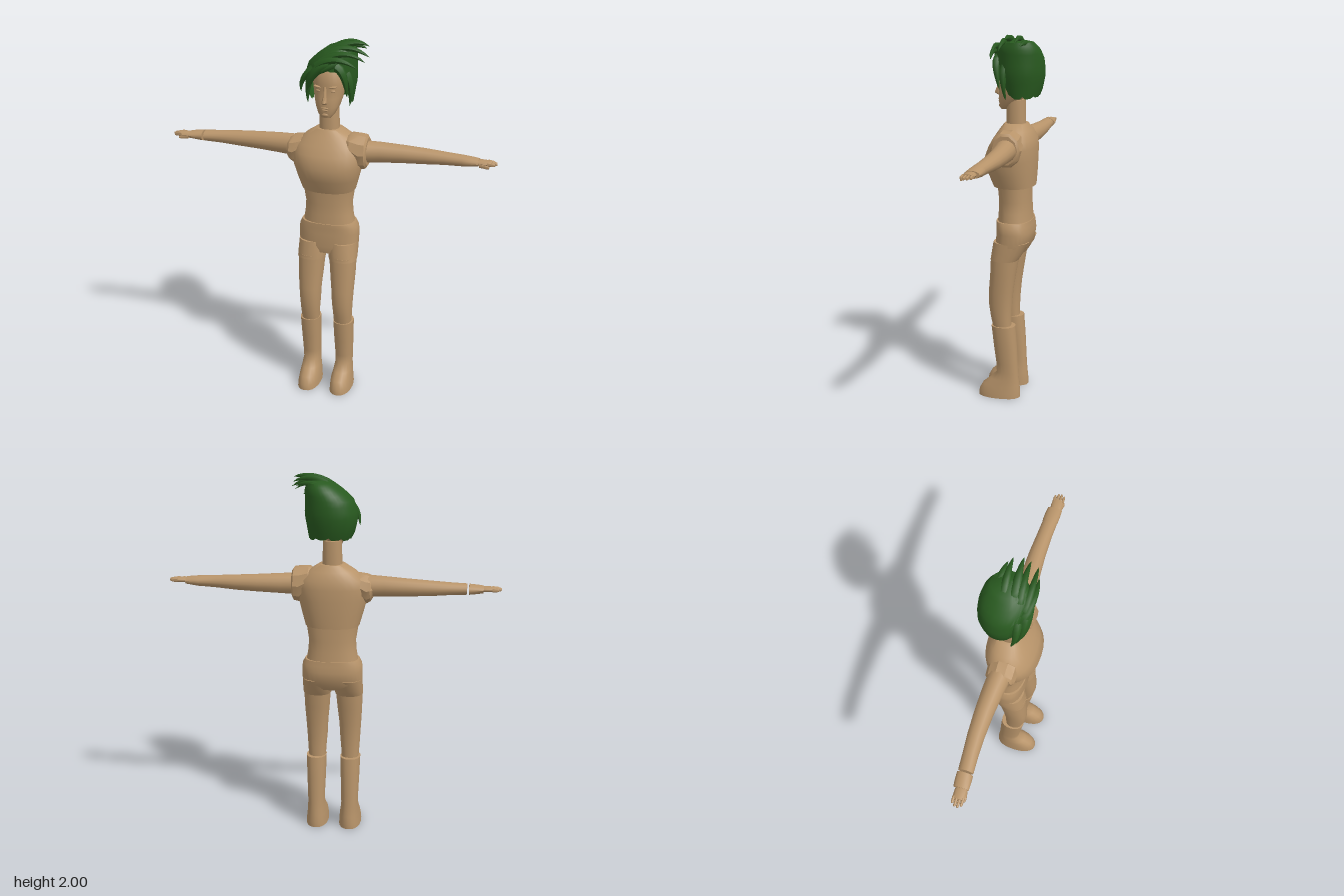
import * as THREE from 'three';
import { mergeVertices, toCreasedNormals } from 'three/addons/utils/BufferGeometryUtils.js';

const skin = new THREE.MeshStandardMaterial({ color: 0xb8946a });
skin.name = 'tan skin';
const green = new THREE.MeshStandardMaterial({ color: 0x28591f, side: THREE.DoubleSide });
green.name = 'dark green hair';

// Closed loft. Sections: [t, aMin, aMax, bMin, bMax]; axis 'y' uses a=x b=z, axis 'x' uses a=z b=y.
function loft(name, sections, { axis = 'y', sides = 20, power = 2.3, crease = 0.7 } = {}) {
  const pos = [], idx = [], n = sections.length;
  const put = (t, a, b) => (axis === 'y' ? pos.push(a, t, b) : pos.push(t, b, a));
  const bend = (v) => Math.sign(v) * Math.pow(Math.abs(v), 2 / power);
  for (const [t, a0, a1, b0, b1] of sections) {
    for (let j = 0; j < sides; j++) {
      const w = (j / sides) * Math.PI * 2;
      put(t, (a0 + a1) / 2 + ((a1 - a0) / 2) * bend(Math.cos(w)),
        (b0 + b1) / 2 + ((b1 - b0) / 2) * bend(Math.sin(w)));
    }
  }
  for (const [t, a0, a1, b0, b1] of [sections[0], sections[n - 1]]) put(t, (a0 + a1) / 2, (b0 + b1) / 2);
  for (let j = 0; j < sides; j++) {
    const k = (j + 1) % sides;
    for (let i = 0; i < n - 1; i++) {
      const a = i * sides + j, b = i * sides + k;
      idx.push(a, a + sides, b + sides, a, b + sides, b);
    }
    idx.push(n * sides, j, k, n * sides + 1, (n - 1) * sides + k, (n - 1) * sides + j);
  }
  const geo = new THREE.BufferGeometry();
  geo.setAttribute('position', new THREE.Float32BufferAttribute(pos, 3));
  geo.setIndex(idx);
  const mesh = new THREE.Mesh(toCreasedNormals(geo, crease), skin);
  mesh.name = name;
  return mesh;
}

// Mirror sections across x = 0 for each loft axis
const mirrorX = (s) => s.map(([t, ...r]) => [-t, ...r]).reverse();
const mirrorY = (s) => s.map(([t, a0, a1, b0, b1]) => [t, -a1, -a0, b0, b1]);

// Hair outline by height: [y, centre x, radius x, centre z, radius z]
const hairProfile = [
  [1.66, 0.01, 0.105, -0.05, 0.085], [1.72, 0.0, 0.125, -0.047, 0.11], [1.8, 0.0, 0.14, -0.045, 0.128],
  [1.88, 0.012, 0.127, -0.042, 0.125], [1.93, 0.04, 0.1, -0.04, 0.113], [1.965, 0.06, 0.07, -0.04, 0.085],
  [1.985, 0.075, 0, -0.035, 0],
];
function hairPoint(y, w) {
  let i = 0;
  while (i < hairProfile.length - 2 && y > hairProfile[i + 1][0]) i++;
  const p = hairProfile[i], q = hairProfile[i + 1];
  const k = (y - p[0]) / (q[0] - p[0]);
  const [cx, rx, cz, rz] = [1, 2, 3, 4].map((c) => p[c] + (q[c] - p[c]) * k);
  return [cx + rx * Math.sin(w), y, cz + rz * Math.cos(w)];
}

// Cap of hair with a face opening and a jagged hem
function hairCap() {
  const cols = 40, rows = 12, pos = [], idx = [];
  for (let j = 0; j <= cols; j++) {
    const w = (j / cols) * Math.PI * 2, f = Math.min(w, Math.PI * 2 - w);
    const open = 1 - THREE.MathUtils.smoothstep(f, 0.55, 1.25);
    const hem = 1.675 + 0.18 * open + (j % 4 === 0 ? 0.012 : 0) + (f > 2.6 ? 0.005 : 0);
    for (let i = 0; i <= rows; i++) {
      pos.push(...hairPoint(hem + (1.985 - hem) * (1 - Math.pow(1 - i / rows, 1.5)), w));
    }
  }
  for (let j = 0; j < cols; j++) for (let i = 0; i < rows; i++) {
    const a = j * (rows + 1) + i, b = a + rows + 1;
    idx.push(a, b, b + 1, a, b + 1, a + 1);
  }
  const geo = new THREE.BufferGeometry();
  geo.setAttribute('position', new THREE.Float32BufferAttribute(pos, 3));
  geo.setIndex(idx);
  const mesh = new THREE.Mesh(toCreasedNormals(mergeVertices(geo), 0.8), green);
  mesh.name = 'hairCap';
  return mesh;
}

// Pointed lock: a tube tapered along its curve
function lock(a, b, c, width) {
  const curve = new THREE.QuadraticBezierCurve3(...[a, b, c].map((p) => new THREE.Vector3(...p)));
  const seg = 8, sides = 6, geo = new THREE.TubeGeometry(curve, seg, width, sides);
  const p = geo.attributes.position, v = new THREE.Vector3();
  for (let i = 0; i < p.count; i++) {
    const u = Math.floor(i / (sides + 1)) / seg, o = curve.getPointAt(u);
    v.fromBufferAttribute(p, i).sub(o).multiplyScalar(Math.pow(1 - u, 0.7)).add(o);
    p.setXYZ(i, v.x, v.y, v.z);
  }
  geo.computeVertexNormals();
  const mesh = new THREE.Mesh(geo, green);
  mesh.name = 'hairLock';
  return mesh;
}

function ellipsoid(name, x, y, z, rx, ry, rz, tilt = 0) {
  const mesh = new THREE.Mesh(new THREE.SphereGeometry(1, 12, 8), skin);
  mesh.position.set(x, y, z);
  mesh.scale.set(rx, ry, rz);
  mesh.rotation.z = tilt;
  mesh.name = name;
  return mesh;
}

export function createModel() {
  const model = new THREE.Group();
  model.name = 'figure';

  // Torso
  model.add(
    loft('chest', [
      [1.2, -0.145, 0.145, -0.122, 0.1], [1.27, -0.165, 0.165, -0.127, 0.128], [1.345, -0.185, 0.185, -0.13, 0.15],
      [1.41, -0.19, 0.19, -0.13, 0.125], [1.455, -0.175, 0.175, -0.125, 0.1], [1.5, -0.125, 0.125, -0.105, 0.07],
      [1.535, -0.07, 0.07, -0.08, 0.045]], { sides: 28 }),
    loft('waist', [
      [1.0, -0.142, 0.142, -0.108, 0.076], [1.06, -0.132, 0.132, -0.102, 0.072],
      [1.12, -0.128, 0.128, -0.1, 0.07], [1.21, -0.142, 0.142, -0.1, 0.076]], { sides: 24 }),
    loft('hips', [
      [0.84, -0.162, 0.162, -0.07, 0.075], [0.88, -0.163, 0.163, -0.107, 0.083], [0.95, -0.165, 0.165, -0.116, 0.078],
      [0.985, -0.162, 0.162, -0.112, 0.08], [1.012, -0.148, 0.148, -0.11, 0.08]], { sides: 28, power: 2.6 }),
    loft('neck', [[1.52, -0.053, 0.053, -0.068, 0.036], [1.66, -0.05, 0.05, -0.068, 0.032]]));

  // Legs and boots
  const cuff = [[0.8, 0.012, 0.165, -0.052, 0.1], [0.84, 0.004, 0.165, -0.078, 0.094], [0.9, 0.0, 0.163, -0.108, 0.085]];
  const leg = [
    [0.4, 0.046, 0.14, -0.012, 0.084], [0.47, 0.042, 0.145, -0.012, 0.1], [0.54, 0.036, 0.149, -0.016, 0.11],
    [0.62, 0.032, 0.154, -0.023, 0.11], [0.72, 0.022, 0.16, -0.038, 0.102], [0.82, 0.014, 0.162, -0.055, 0.098]];
  const boot = [
    [0.0, 0.032, 0.157, -0.064, 0.173], [0.03, 0.034, 0.155, -0.064, 0.17], [0.07, 0.037, 0.15, -0.06, 0.148],
    [0.105, 0.043, 0.146, -0.056, 0.105], [0.145, 0.048, 0.142, -0.053, 0.068], [0.2, 0.047, 0.144, -0.05, 0.07],
    [0.3, 0.043, 0.148, -0.045, 0.083], [0.42, 0.04, 0.152, -0.036, 0.096]];
  for (const [side, place] of [['left', (s) => s], ['right', mirrorY]]) {
    model.add(
      loft(side + 'ThighCuff', place(cuff)),
      loft(side + 'Leg', place(leg)),
      loft(side + 'Boot', place(boot), { crease: 0.9 }));
  }

  // Arms: the left sleeve runs to the wrist, the right one stops short of a separate cuff
  const upperArm = [
    [0.18, -0.07, 0.05, 1.36, 1.478], [0.28, -0.075, 0.035, 1.366, 1.474], [0.4, -0.076, 0.022, 1.372, 1.467],
    [0.52, -0.072, 0.016, 1.378, 1.46], [0.62, -0.064, 0.016, 1.386, 1.453], [0.71, -0.058, 0.02, 1.39, 1.448]];
  const cuffEnd = [[0.72, -0.06, 0.022, 1.39, 1.447], [0.76, -0.058, 0.024, 1.395, 1.443], [0.795, -0.054, 0.024, 1.4, 1.438]];
  const palm = [[0.785, -0.038, 0.018, 1.406, 1.434], [0.81, -0.043, 0.02, 1.406, 1.436], [0.85, -0.042, 0.019, 1.408, 1.433]];
  const ax = { axis: 'x', sides: 16, power: 2 };
  model.add(
    loft('leftArm', [...upperArm, ...cuffEnd], ax),
    loft('rightArm', mirrorX(upperArm), ax),
    loft('rightCuff', mirrorX(cuffEnd), ax),
    loft('leftShoulder', [
      [0.1, -0.07, 0.06, 1.4, 1.505], [0.125, -0.09, 0.075, 1.375, 1.518], [0.175, -0.092, 0.076, 1.322, 1.517],
      [0.205, -0.09, 0.072, 1.328, 1.512], [0.214, -0.078, 0.06, 1.342, 1.498]], { ...ax, sides: 10, crease: 0.5 }),
    loft('rightShoulder', mirrorX([
      [0.1, -0.065, 0.055, 1.39, 1.47], [0.14, -0.085, 0.07, 1.365, 1.488], [0.185, -0.085, 0.07, 1.322, 1.483],
      [0.205, -0.083, 0.068, 1.335, 1.475], [0.218, -0.07, 0.055, 1.355, 1.462]]), { ...ax, sides: 10, crease: 0.5 }));
  for (const [side, place] of [['left', (s) => s], ['right', mirrorX]]) {
    model.add(loft(side + 'Palm', place(palm), ax));
    [0.875, 0.888, 0.89, 0.88].forEach((tip, i) => {
      const z = -0.035 + i * 0.0155;
      model.add(loft(side + 'Finger', place([
        [0.84, z - 0.008, z + 0.008, 1.41, 1.432], [tip - 0.008, z - 0.007, z + 0.007, 1.411, 1.429],
        [tip, z - 0.004, z + 0.004, 1.414, 1.425]]), { ...ax, sides: 8 }));
    });
    model.add(loft(side + 'Thumb', place([
      [0.8, 0.006, 0.02, 1.4, 1.425], [0.835, 0.012, 0.026, 1.398, 1.417], [0.852, 0.015, 0.023, 1.4, 1.412]]),
      { ...ax, sides: 8 }));
  }

  // Head and face
  model.add(
    loft('head', [
      [1.608, -0.026, 0.026, 0.03, 0.066], [1.63, -0.045, 0.045, 0.0, 0.074], [1.665, -0.062, 0.062, -0.055, 0.076],
      [1.71, -0.074, 0.074, -0.09, 0.076], [1.752, -0.081, 0.081, -0.1, 0.068], [1.785, -0.083, 0.083, -0.105, 0.076],
      [1.86, -0.076, 0.076, -0.1, 0.06], [1.92, -0.045, 0.045, -0.07, 0.02]], { sides: 24, crease: 1 }),
    loft('nose', [
      [1.683, -0.013, 0.013, 0.06, 0.088], [1.694, -0.016, 0.016, 0.055, 0.102], [1.725, -0.009, 0.009, 0.055, 0.089],
      [1.775, -0.008, 0.008, 0.05, 0.077]], { sides: 10, power: 2 }),
    ellipsoid('upperLip', 0, 1.662, 0.072, 0.022, 0.005, 0.009),
    ellipsoid('lowerLip', 0, 1.651, 0.071, 0.018, 0.005, 0.009),
    ellipsoid('chin', 0, 1.625, 0.066, 0.02, 0.012, 0.012));
  for (const s of [-1, 1]) {
    model.add(
      ellipsoid('brow', s * 0.038, 1.772, 0.062, 0.026, 0.006, 0.014, s * 0.15),
      ellipsoid('eye', s * 0.036, 1.75, 0.056, 0.016, 0.007, 0.01));
  }

  // Hair: cap, swept crown locks, fringe and side locks
  model.add(hairCap());
  const locks = [
    [[-0.02, 1.9, 0.06], [0.1, 1.99, 0.07], [0.21, 1.91, 0.06], 0.024],
    [[-0.04, 1.88, 0.065], [0.06, 1.96, 0.1], [0.17, 1.88, 0.075], 0.026],
    [[0.0, 1.93, 0.03], [0.1, 2.01, 0.02], [0.22, 1.93, 0.02], 0.026],
    [[0.02, 1.945, 0.0], [0.11, 2.01, -0.01], [0.205, 1.985, -0.01], 0.03],
    [[0.01, 1.94, -0.05], [0.1, 2.02, -0.06], [0.2, 1.965, -0.06], 0.026],
    [[0.05, 1.94, -0.09], [0.11, 1.98, -0.09], [0.18, 1.95, -0.08], 0.024],
    [[0.06, 1.88, 0.065], [0.11, 1.86, 0.075], [0.11, 1.72, 0.045], 0.026],
    [[0.1, 1.84, 0.02], [0.14, 1.78, 0.03], [0.115, 1.665, 0.01], 0.024],
    [[0.02, 1.89, 0.07], [-0.06, 1.87, 0.1], [-0.1, 1.74, 0.065], 0.028],
    [[-0.03, 1.87, 0.07], [-0.1, 1.83, 0.08], [-0.1, 1.675, 0.04], 0.026],
    [[-0.07, 1.86, 0.04], [-0.14, 1.81, 0.06], [-0.14, 1.73, 0.03], 0.024],
    [[0.06, 1.9, 0.06], [0.0, 1.87, 0.1], [-0.06, 1.83, 0.085], 0.024],
  ];
  for (const l of locks) model.add(lock(...l));
  return model;
}
